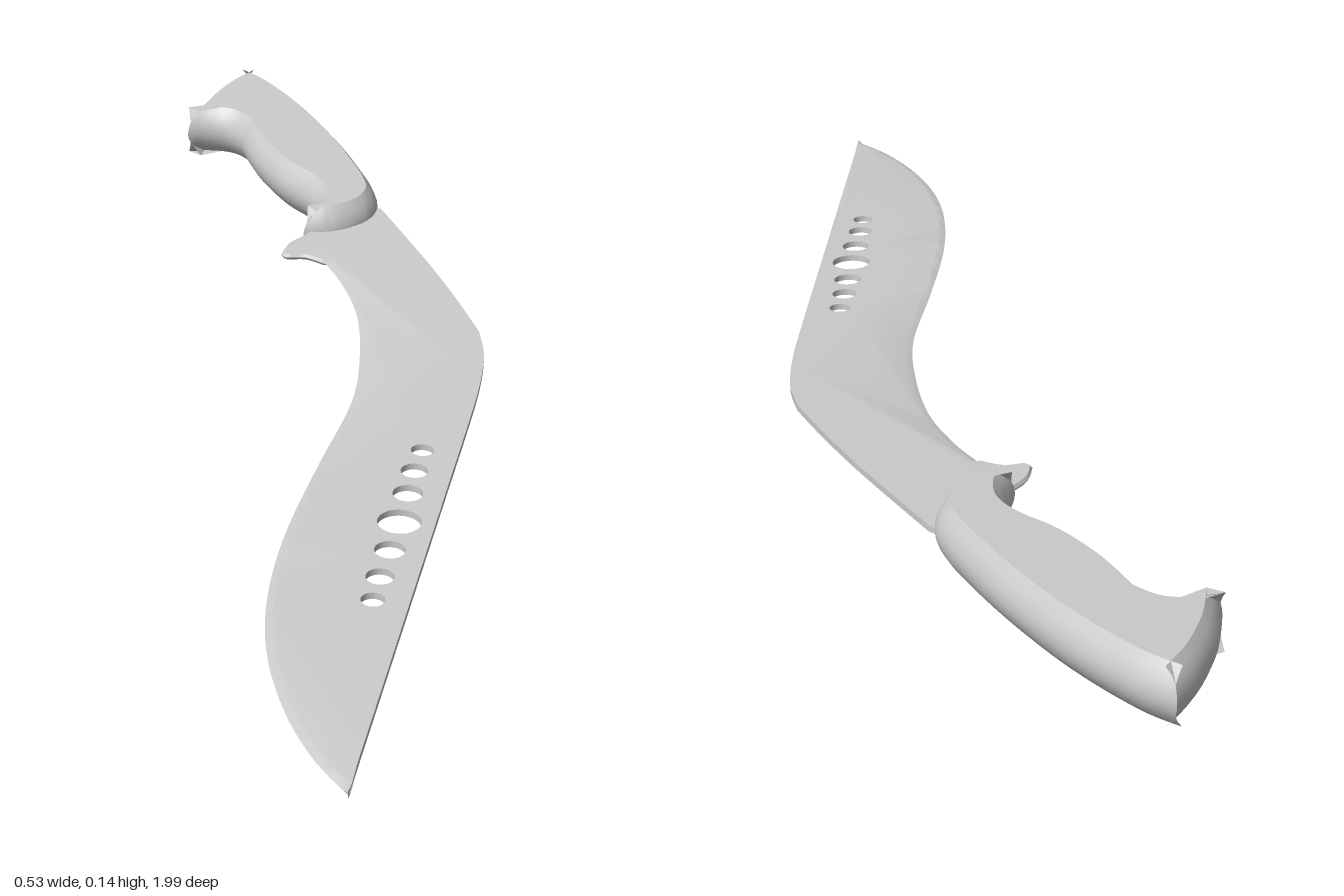
import * as THREE from 'three';
import { mergeGeometries, toCreasedNormals } from 'three/addons/utils/BufferGeometryUtils.js';

const material = new THREE.MeshStandardMaterial({ color: 0xcccccc, side: THREE.DoubleSide });
const vec = ([x, z]) => new THREE.Vector2(x, -z);

// Joins smooth runs of [x, z] points into one closed outline; each run has its own edge inset.
function outline(runs) {
  const points = [];
  for (const { pts, inset, n = 24 } of runs) {
    const run = pts.length > 2 ? new THREE.SplineCurve(pts.map(vec)).getPoints(n) : pts.map(vec);
    run.slice(0, -1).forEach((p) => points.push({ p, inset }));
  }
  return points;
}

// Outline moved inwards along its corner normals by k times the inset of each point.
function shrink(points, k) {
  const edgeNormal = (a, b) => new THREE.Vector2(b.y - a.y, a.x - b.x).normalize();
  return points.map(({ p, inset }, i) => {
    const n1 = edgeNormal(points.at(i - 1).p, p);
    const n2 = edgeNormal(p, points[(i + 1) % points.length].p);
    const miter = n1.clone().add(n2).divideScalar(Math.max(0.6, 1 + n1.dot(n2)));
    return p.clone().addScaledVector(miter, -inset * k);
  });
}

// Flat slab whose rim narrows from mid height towards both faces.
function slab(points, half, levels, power, holes = []) {
  const pos = [], index = [], N = points.length;
  for (let l = 0; l <= levels; l++) {
    const v = (2 * l) / levels - 1;
    for (const p of shrink(points, Math.abs(v) ** power)) pos.push(p.x, v * half, -p.y);
  }
  for (let l = 0; l < levels; l++) {
    for (let i = 0; i < N; i++) {
      const a = l * N + i, b = l * N + ((i + 1) % N);
      index.push(a, b, b + N, a, b + N, a + N);
    }
  }
  const side = new THREE.BufferGeometry();
  side.setAttribute('position', new THREE.Float32BufferAttribute(pos, 3));
  side.setIndex(index);

  const face = new THREE.Shape(shrink(points, 1));
  for (const [x, z, r] of holes) face.holes.push(new THREE.Path().absarc(x, -z, r, 0, Math.PI * 2, true));
  const top = new THREE.ShapeGeometry(face, 16).rotateX(-Math.PI / 2).translate(0, half, 0);
  top.deleteAttribute('uv');
  top.deleteAttribute('normal');
  const bottom = top.clone().scale(1, -1, 1);
  bottom.index.array.reverse();
  return toCreasedNormals(mergeGeometries([side, top, bottom]), 0.55);
}

export function createModel() {
  const model = new THREE.Group();
  model.name = 'curvedKnife';
  const add = (name, geometry) => {
    const mesh = new THREE.Mesh(geometry, material);
    mesh.name = name;
    model.add(mesh);
    return mesh;
  };

  // Blade: finger guard, sharpened inner edge, flat spine and hidden tang
  const half = 0.0048;
  const holes = [
    [0.077, 0.28, 0.016], [0.05, 0.33, 0.019], [0.024, 0.384, 0.021], [-0.008, 0.45, 0.03],
    [-0.04, 0.513, 0.021], [-0.071, 0.571, 0.019], [-0.095, 0.62, 0.016],
  ];
  const blade = outline([
    { pts: [[0.15, -0.5], [0.12, -0.43]], inset: 0 },
    { pts: [[0.12, -0.43], [0.09, -0.405], [0.06, -0.385], [0.04, -0.355]], inset: 0.003, n: 10 },
    { pts: [[0.04, -0.355], [0.047, -0.342], [0.075, -0.335], [0.1, -0.305]], inset: 0.003, n: 12 },
    {
      pts: [[0.1, -0.305], [0.106, -0.23], [0.1, -0.13], [0.07, -0.01], [0.02, 0.12], [-0.075, 0.28], [-0.165, 0.44],
        [-0.225, 0.58], [-0.256, 0.7], [-0.265, 0.82], [-0.256, 0.92], [-0.235, 0.995]],
      inset: 0.011, n: 60,
    },
    { pts: [[-0.235, 0.995], [0.093, 0.36]], inset: 0 },
    { pts: [[0.093, 0.36], [0.155, 0.24], [0.21, 0.13], [0.247, 0.04], [0.262, -0.03]], inset: 0 },
    { pts: [[0.262, -0.03], [0.261, -0.13], [0.255, -0.26], [0.238, -0.46]], inset: 0 },
    { pts: [[0.238, -0.46], [0.22, -0.5]], inset: 0 },
    { pts: [[0.22, -0.5], [0.15, -0.5]], inset: 0 },
  ]);
  add('blade', slab(blade, half, 2, 1, holes));

  // Walls of the holes through the blade
  for (const [x, z, r] of holes) {
    add('holeWall', new THREE.CylinderGeometry(r, r, half * 2, 32, 1, true)).position.set(x, 0, z);
  }

  // Handle: hooked pommel, finger grip and bulged sides
  const inset = 0.02;
  const handle = outline([
    { pts: [[0.15, -1], [0.095, -0.957], [0.04, -0.895], [0, -0.83]], inset, n: 16 },
    { pts: [[0, -0.83], [0.035, -0.826], [0.065, -0.81], [0.08, -0.78]], inset, n: 14 },
    {
      pts: [[0.08, -0.78], [0.083, -0.69], [0.1, -0.6], [0.126, -0.535], [0.132, -0.49], [0.118, -0.45], [0.093, -0.415]],
      inset, n: 36,
    },
    { pts: [[0.093, -0.415], [0.13, -0.405], [0.17, -0.411], [0.21, -0.434], [0.235, -0.475], [0.241, -0.53]], inset, n: 24 },
    { pts: [[0.241, -0.53], [0.235, -0.66], [0.215, -0.81], [0.182, -0.935], [0.15, -1]], inset, n: 28 },
  ]);
  add('handle', slab(handle, 0.0415, 8, 2));

  // The knife lies with its tip down and its handle slightly raised
  model.rotation.x = 0.049;
  model.position.y = 0.0545;
  const root = new THREE.Group();
  root.name = 'knife';
  root.add(model);
  return root;
}
